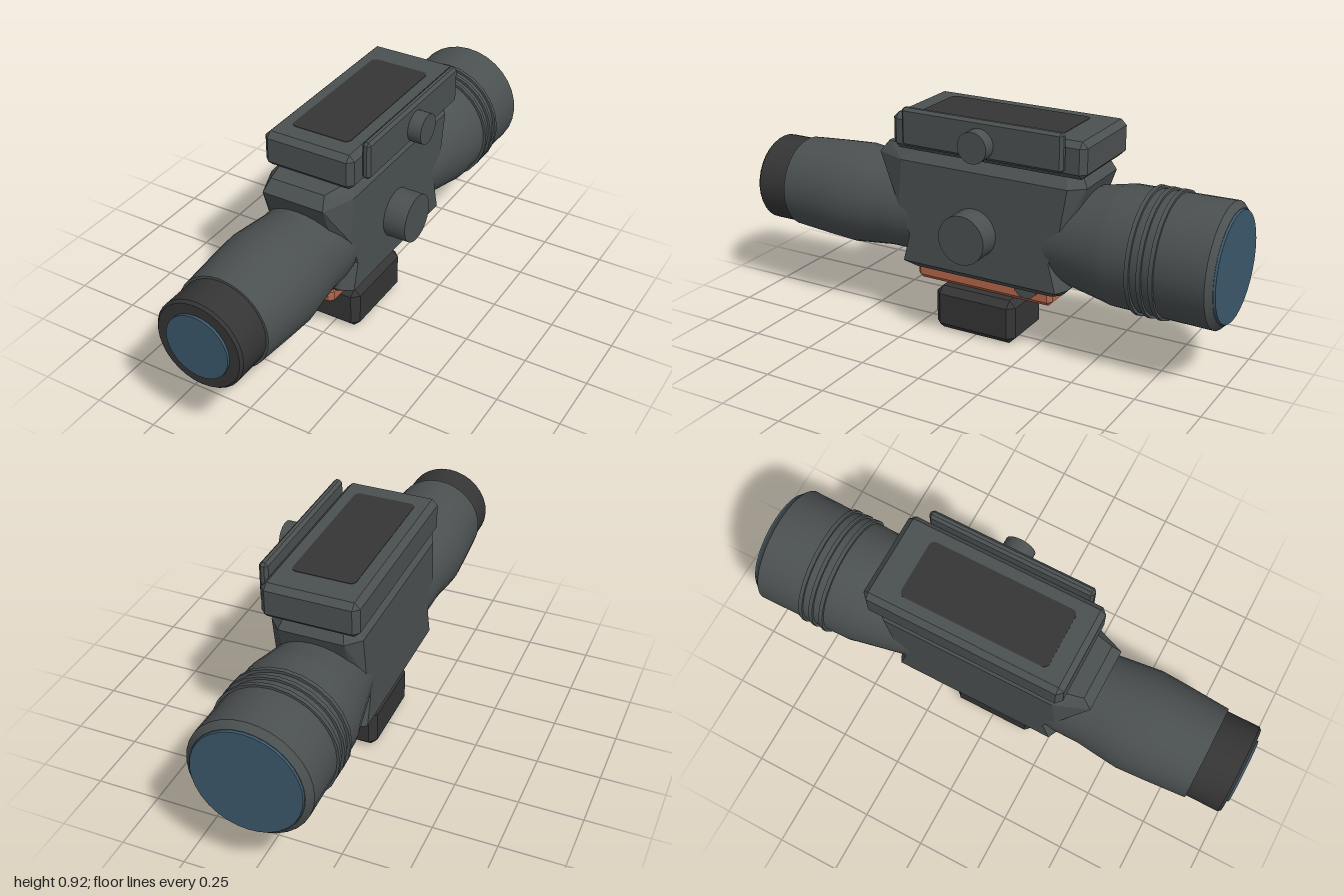
import * as THREE from 'three';
import { toCreasedNormals } from 'three/addons/utils/BufferGeometryUtils.js';
import { ConvexGeometry } from 'three/addons/geometries/ConvexGeometry.js';

const material = (name, color) => {
  const m = new THREE.MeshStandardMaterial({ color });
  m.name = name;
  return m;
};

// Box given by its min and max corners, with every edge cut by c
function chamferBox([x0, y0, z0], [x1, y1, z1], c) {
  const h = [(x1 - x0) / 2, (y1 - y0) / 2, (z1 - z0) / 2];
  const pts = [];
  for (const sx of [-1, 1]) for (const sy of [-1, 1]) for (const sz of [-1, 1])
    for (let full = 0; full < 3; full++) {
      const e = h.map((v, i) => (i === full ? v : v - c));
      pts.push(new THREE.Vector3(sx * e[0], sy * e[1], sz * e[2]));
    }
  return new ConvexGeometry(pts).translate((x0 + x1) / 2, (y0 + y1) / 2, (z0 + z1) / 2);
}

// Solid of revolution along z from [radius, z] pairs, back to front
function turned(profile, segments = 32) {
  const geo = new THREE.LatheGeometry(profile.map(([r, z]) => new THREE.Vector2(r, z)), segments);
  return toCreasedNormals(geo.rotateX(Math.PI / 2), 0.4);
}

// Convex block from octagonal levels: [y, half width, corner cut, front z, front side z, back side z, back z]
function octagonBlock(levels) {
  const pts = [];
  for (const [y, hx, cut, f, fs, bs, b] of levels)
    for (const s of [-1, 1])
      pts.push(
        new THREE.Vector3(s * (hx - cut), y, f), new THREE.Vector3(s * hx, y, fs),
        new THREE.Vector3(s * hx, y, bs), new THREE.Vector3(s * (hx - cut), y, b));
  return new ConvexGeometry(pts);
}

export function createModel() {
  const group = new THREE.Group();
  group.name = 'riflescope';
  const gray = material('gunmetal', 0x4b5051);
  const dark = material('darkRubber', 0x363535);
  const orange = material('copperOrange', 0xb5674a);
  const blue = material('lensBlue', 0x3c586b);
  const CX = -0.018, CY = 0.463;

  const add = (name, geo, mat, x = 0, y = 0, z = 0) => {
    const mesh = new THREE.Mesh(geo, mat);
    mesh.name = name;
    mesh.position.set(x, y, z);
    group.add(mesh);
    return mesh;
  };
  const knob = (name, r, x0, x1, y, z, segments = 24) =>
    add(name, toCreasedNormals(
      new THREE.CylinderGeometry(r, r, x1 - x0, segments).rotateZ(Math.PI / 2), 0.4),
    gray, (x0 + x1) / 2, y, z);

  // Optical tube
  add('tube', turned([
    [0, -0.992], [0.212, -0.992], [0.235, -0.97], [0.229, -0.58], [0.222, -0.55], [0.184, -0.36],
    [0.172, -0.3], [0.172, 0.22], [0.184, 0.3], [0.184, 0.4], [0.19, 0.45], [0.203, 0.57],
    [0.197, 0.68], [0.185, 0.85], [0, 0.85],
  ]), gray, CX, CY);
  for (const z of [-0.775, -0.73, -0.685])
    add('gripRing', turned([
      [0.22, z - 0.008], [0.242, z - 0.008], [0.242, z + 0.008], [0.22, z + 0.008],
    ], 24), gray, CX, CY);
  add('eyepiece', turned([
    [0.176, 0.84], [0.176, 0.98], [0.167, 0.99], [0, 0.99],
  ]), dark, CX, CY);
  add('frontLens', turned([[0.126, 0.985], [0.126, 1], [0, 1]]), blue, CX, CY);
  add('backLens', turned([[0, -1], [0.207, -1], [0.21, -0.99]]), blue, CX, CY);

  // Housing, flared above and below its waist
  add('upperHousing', octagonBlock([
    [0.4, 0.176, 0.05, 0.27, 0.25, -0.35, -0.37],
    [0.52, 0.176, 0.05, 0.335, 0.3, -0.39, -0.41],
    [0.7, 0.176, 0.05, 0.41, 0.28, -0.42, -0.475],
    [0.746, 0.142, 0.03, 0.375, 0.24, -0.4, -0.45],
  ]), gray, CX);
  add('lowerHousing', octagonBlock([
    [0.25, 0.125, 0.03, 0.27, 0.25, -0.34, -0.37],
    [0.288, 0.176, 0.05, 0.305, 0.28, -0.38, -0.405],
    [0.4, 0.176, 0.05, 0.27, 0.25, -0.35, -0.37],
  ]), gray, CX);

  // Top unit with its inlaid panel
  add('topUnit', chamferBox([-0.203, 0.745, -0.492], [0.169, 0.885, 0.315], 0.022), gray);
  const w = 0.121, l = 0.297, r = 0.022;
  const panel = new THREE.Shape();
  panel.absarc(w - r, l - r, r, 0, Math.PI / 2);
  panel.absarc(-w + r, l - r, r, Math.PI / 2, Math.PI);
  panel.absarc(-w + r, -l + r, r, Math.PI, Math.PI * 1.5);
  panel.absarc(w - r, -l + r, r, Math.PI * 1.5, Math.PI * 2);
  add('topPanel', new THREE.ExtrudeGeometry(panel, { depth: 0.004, bevelEnabled: false, curveSegments: 4 })
    .rotateX(-Math.PI / 2), dark, CX, 0.883, -0.072);

  // Side plate and knobs
  add('sidePlate', chamferBox([0.168, 0.772, -0.42], [0.203, 0.92, 0.25], 0.011), gray);
  knob('plateButton', 0.06, 0.19, 0.256, 0.83, -0.085);
  knob('sideKnob', 0.097, 0.12, 0.249, 0.462, -0.033);

  // Mount
  add('mountRail', chamferBox([-0.097, 0.178, -0.315], [0.062, 0.252, 0.283], 0.018), orange);
  knob('crossBolt', 0.054, -0.114, 0.08, 0.257, -0.215, 12);
  add('mountFoot', chamferBox([-0.142, 0, -0.176], [0.108, 0.18, 0.176], 0.027), dark);

  return group;
}
